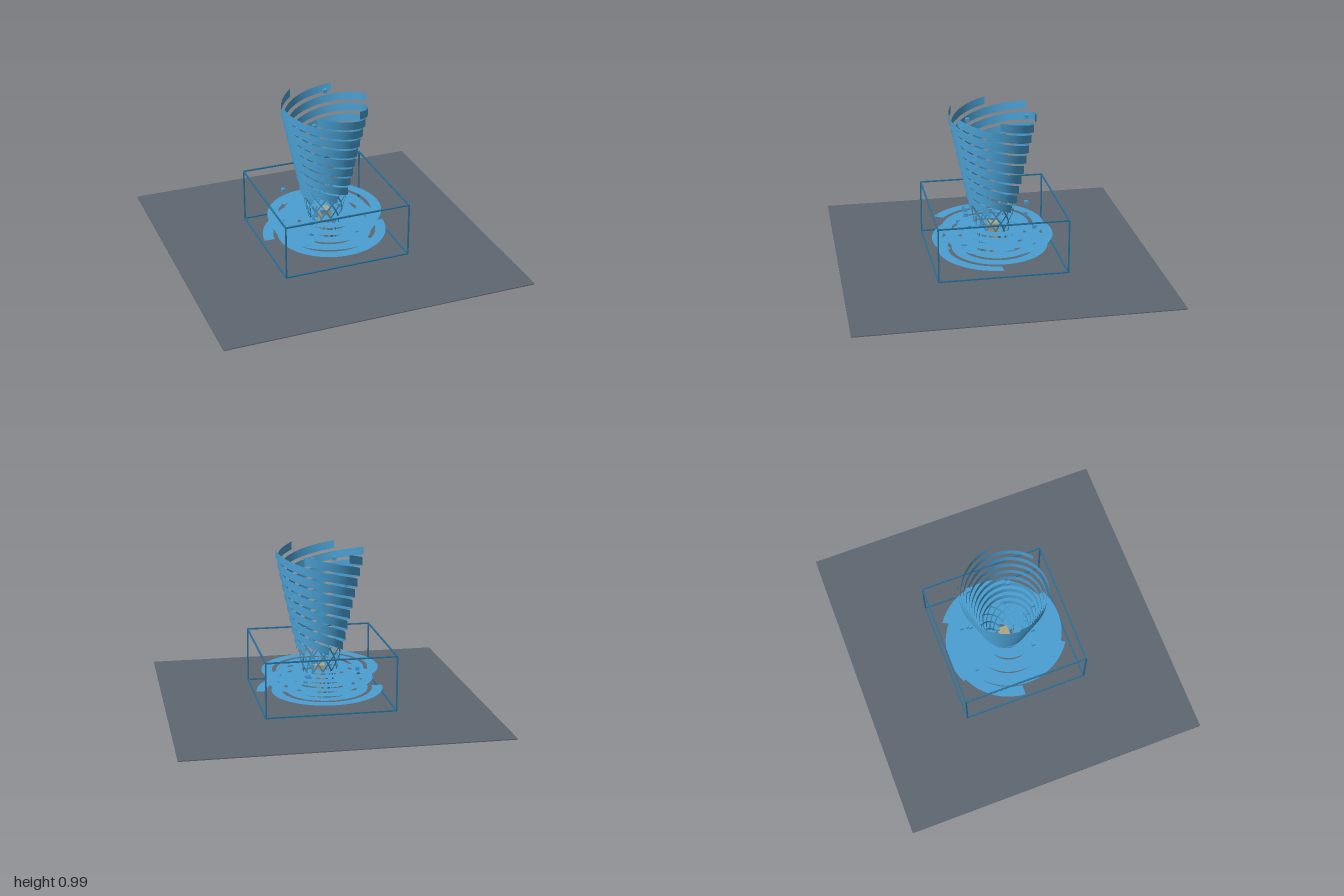
import * as THREE from 'three';

const TAU = Math.PI * 2;
const flat = (name, color, side = THREE.FrontSide) => {
  const m = new THREE.MeshStandardMaterial({ color, side });
  m.name = name;
  return m;
};

// Open strip through pairs of points given by edge(t) -> [pointA, pointB]
function strip(edge, steps) {
  const pos = [], idx = [];
  for (let i = 0; i <= steps; i++) {
    const [a, b] = edge(i / steps);
    pos.push(...a, ...b);
    if (i < steps) {
      const k = i * 2;
      idx.push(k, k + 1, k + 2, k + 1, k + 3, k + 2);
    }
  }
  const g = new THREE.BufferGeometry();
  g.setAttribute('position', new THREE.Float32BufferAttribute(pos, 3));
  g.setIndex(idx);
  g.computeVertexNormals();
  return g;
}

const polar = (r, a, y) => [r * Math.cos(a), y, r * Math.sin(a)];
const funnelRadius = (y) => 0.065 + 0.215 * y;

export function createModel() {
  const model = new THREE.Group();
  const wind = flat('wind blue', 0x4a9fd2, THREE.DoubleSide);
  const frameBlue = flat('frame blue', 0x2a7099);
  const groundGrey = flat('ground grey', 0x5e6770);
  const tan = flat('tan', 0xb0a585);

  const add = (parent, name, geo, mat, x = 0, y = 0, z = 0) => {
    const m = new THREE.Mesh(geo, mat);
    m.name = name;
    m.position.set(x, y, z);
    parent.add(m);
    return m;
  };
  const group = (name) => {
    const g = new THREE.Group();
    g.name = name;
    model.add(g);
    return g;
  };

  // Ground slab and the small block in the centre
  add(model, 'ground', new THREE.BoxGeometry(2, 0.006, 2), groundGrey, 0, 0.018, 0);
  add(model, 'centreBlock', new THREE.BoxGeometry(0.065, 0.22, 0.065), tan, 0, 0.13, 0);

  // Upper funnel: six upright ribbons winding upward
  const funnel = group('funnel');
  const low = 0.39, pitch = 0.42, band = 0.052;
  for (let k = 0; k < 6; k++) {
    const end = (k * TAU) / 6;
    add(funnel, 'funnelRibbon', strip((t) => {
      const y = low + (1 - low) * t;
      const a = end - ((1 - y) / pitch) * TAU;
      const r = funnelRadius(y);
      return [polar(r, a, y - band), polar(r, a, y)];
    }, 72), wind);
  }

  // Lower funnel: lattice of narrow crossing strips
  const lattice = group('lowerLattice');
  for (const dir of [1, -1]) {
    for (let k = 0; k < 12; k++) {
      add(lattice, 'latticeStrip', strip((t) => {
        const y = 0.01 + 0.38 * t;
        const a = (k * TAU) / 12 + dir * t * TAU * 0.3;
        const r = funnelRadius(y), w = 0.006 / r;
        return [polar(r, a - w, y), polar(r, a + w, y)];
      }, 20), wind);
    }
  }

  // Swirl: three flat layers, each with two opposite spiral arms
  const swirl = group('groundSwirl');
  [0.08, 0.15, 0.22].forEach((y, layer) => {
    for (const half of [0, Math.PI]) {
      const start = (layer * TAU) / 6 + half;
      add(swirl, 'swirlArm', strip((t) => {
        const a = start + t * TAU * 1.5;
        const r = 0.41 - 0.285 * t;
        return [polar(r - 0.068, a, y), polar(r, a, y)];
      }, 96), wind);
    }
  });

  // Box frame of thin bars
  const frame = group('boxFrame');
  const h = 0.41, y0 = 0.037, y1 = 0.387, b = 0.009;
  for (const s of [-1, 1]) {
    for (const y of [y0, y1]) {
      add(frame, 'frameBar', new THREE.BoxGeometry(2 * h + b, b, b), frameBlue, 0, y, s * h);
      add(frame, 'frameBar', new THREE.BoxGeometry(b, b, 2 * h + b), frameBlue, s * h, y, 0);
    }
    for (const q of [-1, 1]) {
      add(frame, 'framePost', new THREE.BoxGeometry(b, y1 - y0, b), frameBlue, s * h, (y0 + y1) / 2, q * h);
    }
  }

  // Loose debris cubes
  const debris = group('debris');
  const cube = new THREE.BoxGeometry(0.024, 0.024, 0.024);
  [
    [-0.19, 0.28, -0.26], [-0.15, 0.24, 0.15], [0.12, 0.24, -0.25], [-0.165, 0.19, 0.2],
    [0.13, 0.2, -0.21], [0.135, 0.15, 0.21], [0.17, 0.1, -0.1], [-0.1, 0.1, 0.03],
    [-0.14, 0.06, 0.24], [0.12, 0.06, -0.17], [0.03, 0.35, 0.18], [-0.08, 0.32, 0.17],
    [0.08, 0.32, -0.2], [0.02, 0.2, 0.1], [0.08, 0.97, -0.2], [-0.12, 0.9, 0.14],
    [-0.15, 0.78, -0.1], [0.14, 0.7, 0.08],
  ].forEach(([x, y, z]) => add(debris, 'debrisCube', cube, wind, x, y, z));

  return model;
}
